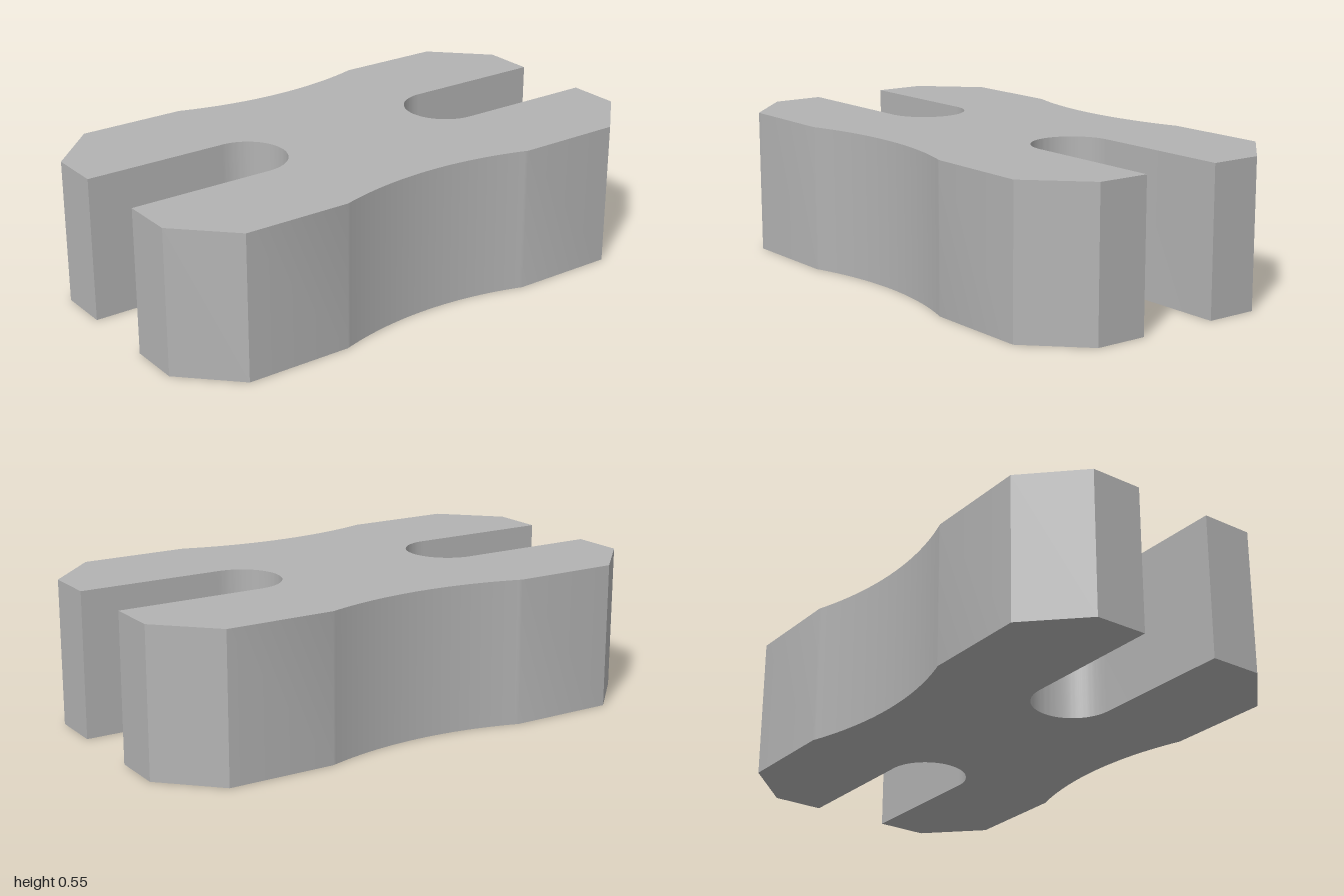
import * as THREE from 'three';
import { toCreasedNormals } from 'three/addons/utils/BufferGeometryUtils.js';

const HALF_W = 0.545, HEIGHT = 0.545;
const SLOT_R = 0.153, SLOT_Z = 0.453;          // slot radius and centre of its round end
const WAIST_X = 0.48, WAIST_Z = 0.4;           // narrowest half width, half length of the waist

// Plan outline, drawn as two identical halves turned by 180 degrees
function createOutline() {
  const sagitta = HALF_W - WAIST_X;
  const radius = (WAIST_Z ** 2 + sagitta ** 2) / (2 * sagitta);
  const sweep = Math.asin(WAIST_Z / radius);
  const shape = new THREE.Shape();
  shape.moveTo(HALF_W, -0.805);
  for (const s of [1, -1]) {
    const turn = s > 0 ? 0 : Math.PI;
    // concave waist
    shape.absarc(s * (WAIST_X + radius), 0, radius, turn + Math.PI + sweep, turn + Math.PI - sweep, true);
    // chamfered corner
    shape.lineTo(s * HALF_W, s * 0.805);
    shape.lineTo(s * 0.35, s);
    // round-ended slot
    shape.lineTo(s * SLOT_R, s);
    shape.absarc(0, s * SLOT_Z, SLOT_R, turn, turn - Math.PI, true);
    shape.lineTo(-s * SLOT_R, s);
    // second chamfered corner
    shape.lineTo(-s * 0.35, s);
    shape.lineTo(-s * HALF_W, s * 0.805);
  }
  return shape;
}

export function createModel() {
  const model = new THREE.Group();
  model.name = 'slottedConnector';

  const grey = new THREE.MeshStandardMaterial({ color: 0xb3b3b3 });
  grey.name = 'grey';

  const extruded = new THREE.ExtrudeGeometry(createOutline(), {
    depth: HEIGHT, bevelEnabled: false, curveSegments: 32,
  });
  extruded.rotateX(-Math.PI / 2);

  const body = new THREE.Mesh(toCreasedNormals(extruded, Math.PI / 6), grey);
  body.name = 'connectorBody';
  model.add(body);
  return model;
}
